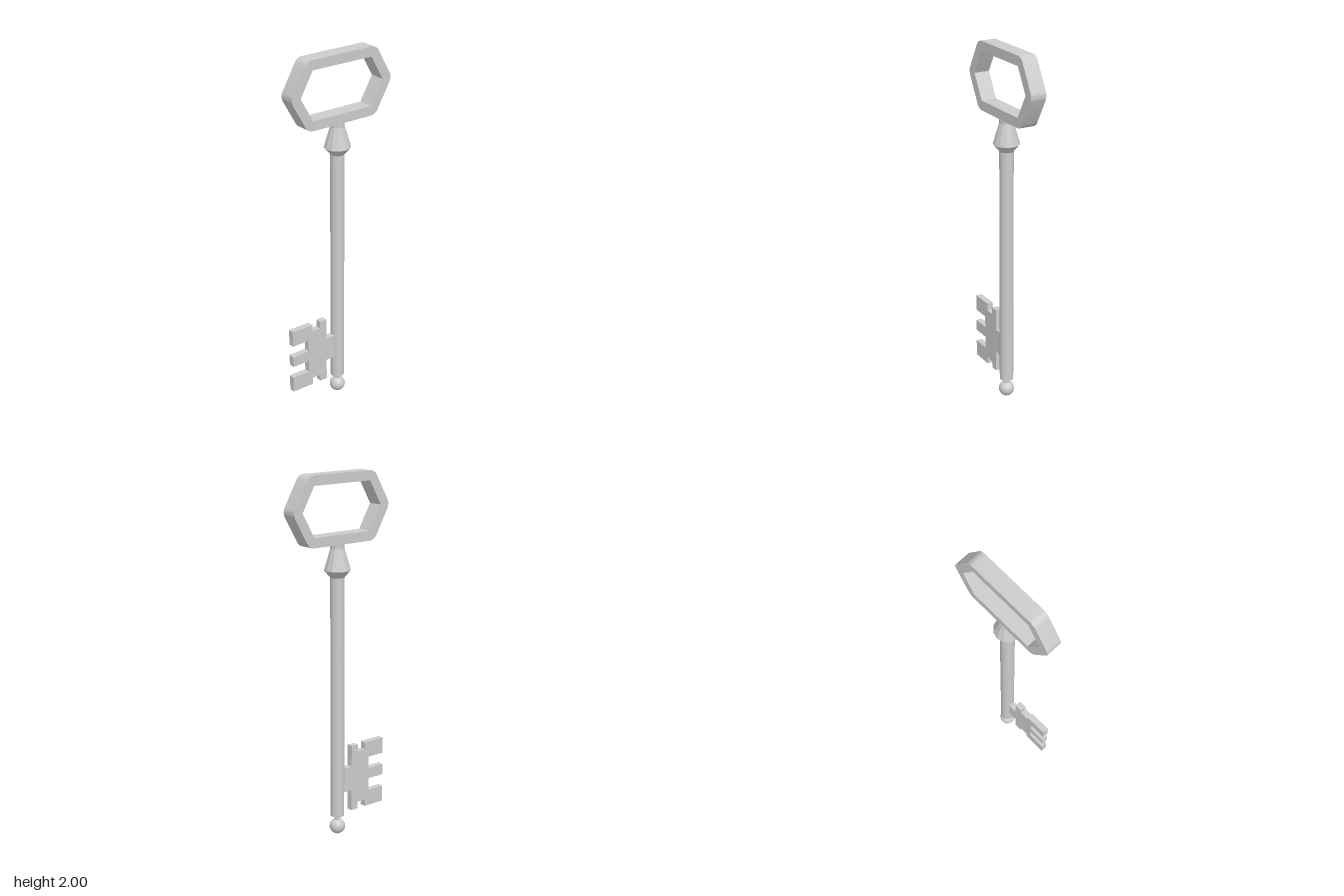
import * as THREE from 'three';
import { toCreasedNormals } from 'three/addons/utils/BufferGeometryUtils.js';

const Z = -0.002; // mid-plane of the flat parts

export function createModel() {
  const key = new THREE.Group();
  key.name = 'key';
  const smooth = new THREE.MeshStandardMaterial({ color: 0xcccccc });
  const flat = new THREE.MeshStandardMaterial({ color: 0xcccccc, flatShading: true });

  const add = (name, geometry, material, x = 0, y = 0, z = 0) => {
    const mesh = new THREE.Mesh(geometry, material);
    mesh.name = name;
    mesh.position.set(x, y, z);
    key.add(mesh);
  };
  const plate = (shape, depth) =>
    new THREE.ExtrudeGeometry(shape, { depth, bevelEnabled: false, curveSegments: 8 })
      .translate(0, 0, Z - depth / 2);

  // Bow: hexagonal window with a rim of even width, rounded at the outer corners
  const window6 = [[0.26, 0], [0.185, 0.132], [-0.185, 0.132], [-0.26, 0], [-0.185, -0.132], [0.185, -0.132]]
    .map(([x, y]) => new THREE.Vector2(x, y));
  const rim = 0.053;
  const normalAngle = (a, b) => Math.atan2(a.x - b.x, b.y - a.y);
  const outline = new THREE.Shape();
  window6.forEach((p, i) => {
    const start = normalAngle(window6[(i + 5) % 6], p);
    const end = normalAngle(p, window6[(i + 1) % 6]);
    outline.absarc(p.x, p.y, rim, start, end, false);
  });
  outline.closePath();
  outline.holes.push(new THREE.Path(window6.slice().reverse()));
  add('bow', toCreasedNormals(plate(outline, 0.087), 0.5), smooth, 0, 1.815);

  // Faceted collar under the bow
  const collar = [[0, 1.44], [0.038, 1.45], [0.072, 1.49], [0.038, 1.605], [0.038, 1.64], [0, 1.64]]
    .map(([r, y]) => new THREE.Vector2(r, y));
  add('collar', new THREE.LatheGeometry(collar, 12), flat, 0, 0, Z);

  // Shaft, neck and ball tip
  add('shaft', new THREE.CylinderGeometry(0.038, 0.038, 1.35, 24), smooth, 0, 0.783, Z);
  add('tipNeck', new THREE.CylinderGeometry(0.016, 0.016, 0.06, 16), smooth, 0, 0.09, Z);
  add('tipBall', new THREE.SphereGeometry(0.043, 32, 20), smooth, 0, 0.044, Z);

  // Bit: toothed plate on the key's right side
  const bit = new THREE.Shape([
    [-0.02, 0.238], [-0.02, 0.377], [-0.088, 0.377], [-0.088, 0.497], [-0.132, 0.497], [-0.132, 0.457],
    [-0.185, 0.457], [-0.185, 0.497], [-0.315, 0.497], [-0.315, 0.407], [-0.211, 0.407], [-0.211, 0.34],
    [-0.315, 0.34], [-0.315, 0.278], [-0.211, 0.278], [-0.211, 0.208], [-0.315, 0.208], [-0.315, 0.118],
    [-0.185, 0.118], [-0.185, 0.157], [-0.132, 0.157], [-0.132, 0.118], [-0.088, 0.118], [-0.088, 0.238],
  ].map(([x, y]) => new THREE.Vector2(x, y)));
  add('bit', plate(bit, 0.035), flat);

  return key;
}
